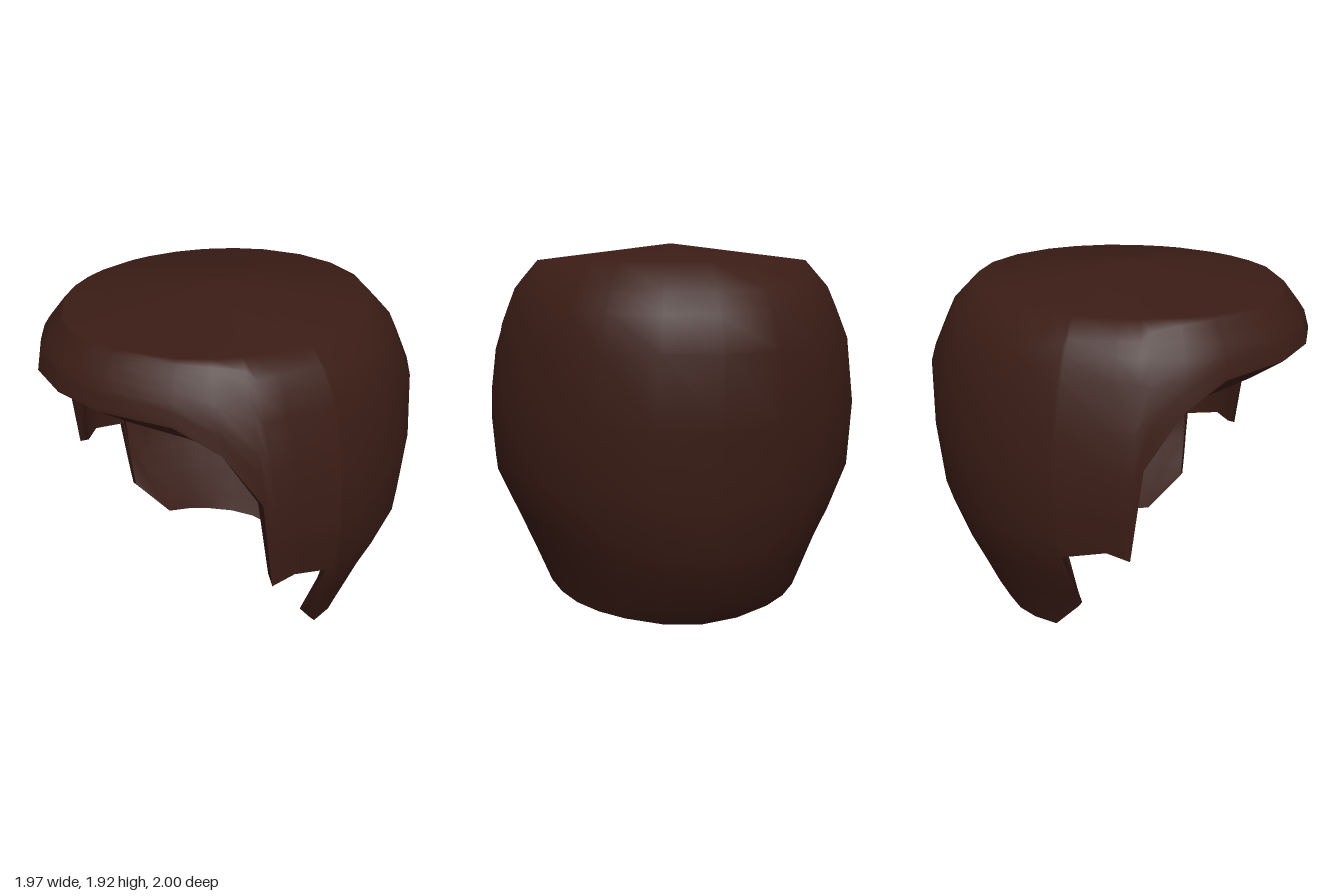
import * as THREE from 'three';

// Cross-sections of the hair: height, centre z, half width, front depth, back depth
const SECTIONS = [
  [1.83, 0.07, 0.72, 0.79, 0.80],
  [1.69, 0.07, 0.84, 0.90, 0.94],
  [1.59, 0.07, 0.88, 0.93, 0.99],
  [1.42, 0.07, 0.945, 0.93, 1.07],
  [1.07, 0.07, 0.99, 0.93, 1.055],
  [0.72, 0.07, 0.965, 0.90, 1.02],
  [0.46, 0.11, 0.85, 0.80, 1.00],
  [0.30, 0.12, 0.78, 0.75, 0.94],
  [0.11, 0.02, 0.70, 0.65, 0.72],
  [0.00, 0.00, 0.66, 0.60, 0.60],
];

// Hairline from front to back: angle, edge height, inner scale, inner edge drop
const HALF_EDGE = [
  [0, 1.59, 0.81, 0.13], [18, 1.585, 0.81, 0.125], [41, 1.57, 0.80, 0.14],
  [53, 1.45, 0.82, 0.07], [63, 1.20, 0.89, 0.05], [66, 0.72, 0.93, -0.03],
  [73, 0.77, 0.95, 0], [88, 0.71, 0.96, 0], [89, 0.34, 0.96, 0],
  [96, 0.11, 0.96, 0], [108, 0.09, 0.96, 0], [120, 0.07, 0.96, 0],
  [133, 0.055, 0.96, 0], [146, 0.04, 0.96, 0], [163, 0.015, 0.96, 0],
  [180, 0, 0.96, 0],
];
const EDGE = [
  ...HALF_EDGE.slice(1).reverse().map(([a, ...rest]) => [-a, ...rest]),
  ...HALF_EDGE.slice(0, -1),
];

// Point on the head-shaped surface at an angle and height, scaled about its centre
function surfacePoint(angle, y, scale) {
  let i = 0;
  while (i < SECTIONS.length - 2 && y < SECTIONS[i + 1][0]) i++;
  const a = SECTIONS[i], b = SECTIONS[i + 1];
  const t = THREE.MathUtils.clamp((a[0] - y) / (a[0] - b[0]), 0, 1);
  const [, cz, w, front, back] = a.map((v, k) => THREE.MathUtils.lerp(v, b[k], t));
  const r = THREE.MathUtils.degToRad(angle);
  const c = Math.cos(r);
  return [w * scale * Math.sin(r), y, cz + (c > 0 ? front : back) * scale * c];
}

// Joins closed rows of points into a smooth skin
function skin(name, rows, material) {
  const n = EDGE.length, index = [];
  for (let r = 0; r < rows.length - 1; r++) {
    for (let i = 0; i < n; i++) {
      const j = (i + 1) % n;
      const a = r * n + i, b = (r + 1) * n + i, c = (r + 1) * n + j, d = r * n + j;
      index.push(a, b, c, a, c, d);
    }
  }
  const geometry = new THREE.BufferGeometry();
  geometry.setAttribute('position', new THREE.Float32BufferAttribute(rows.flat(2), 3));
  geometry.setIndex(index);
  geometry.computeVertexNormals();
  const mesh = new THREE.Mesh(geometry, material);
  mesh.name = name;
  return mesh;
}

export function createModel() {
  const group = new THREE.Group();
  group.name = 'hair';
  const material = new THREE.MeshStandardMaterial({ color: 0x3a1c15, side: THREE.DoubleSide });

  // Rows follow the section heights, squeezed to end on the hairline
  const steps = SECTIONS.map((s) => (1.83 - s[0]) / 1.83);
  const apex = (y) => EDGE.map(() => [0, y, 0.07]);

  const outer = steps.map((t) => EDGE.map(([a, y]) =>
    surfacePoint(a, THREE.MathUtils.lerp(1.83, y, t), 1)));
  const inner = steps.map((t) => EDGE.map(([a, y, k, drop]) =>
    surfacePoint(a, THREE.MathUtils.lerp(1.70, y - drop, t), THREE.MathUtils.lerp(0.84, k, Math.sqrt(t)))));
  inner.reverse();

  group.add(
    skin('outerHair', [apex(1.92), ...outer], material),
    skin('hairlineRim', [outer[outer.length - 1], inner[0]], material),
    skin('innerLining', [...inner, apex(1.78)], material),
  );
  return group;
}
